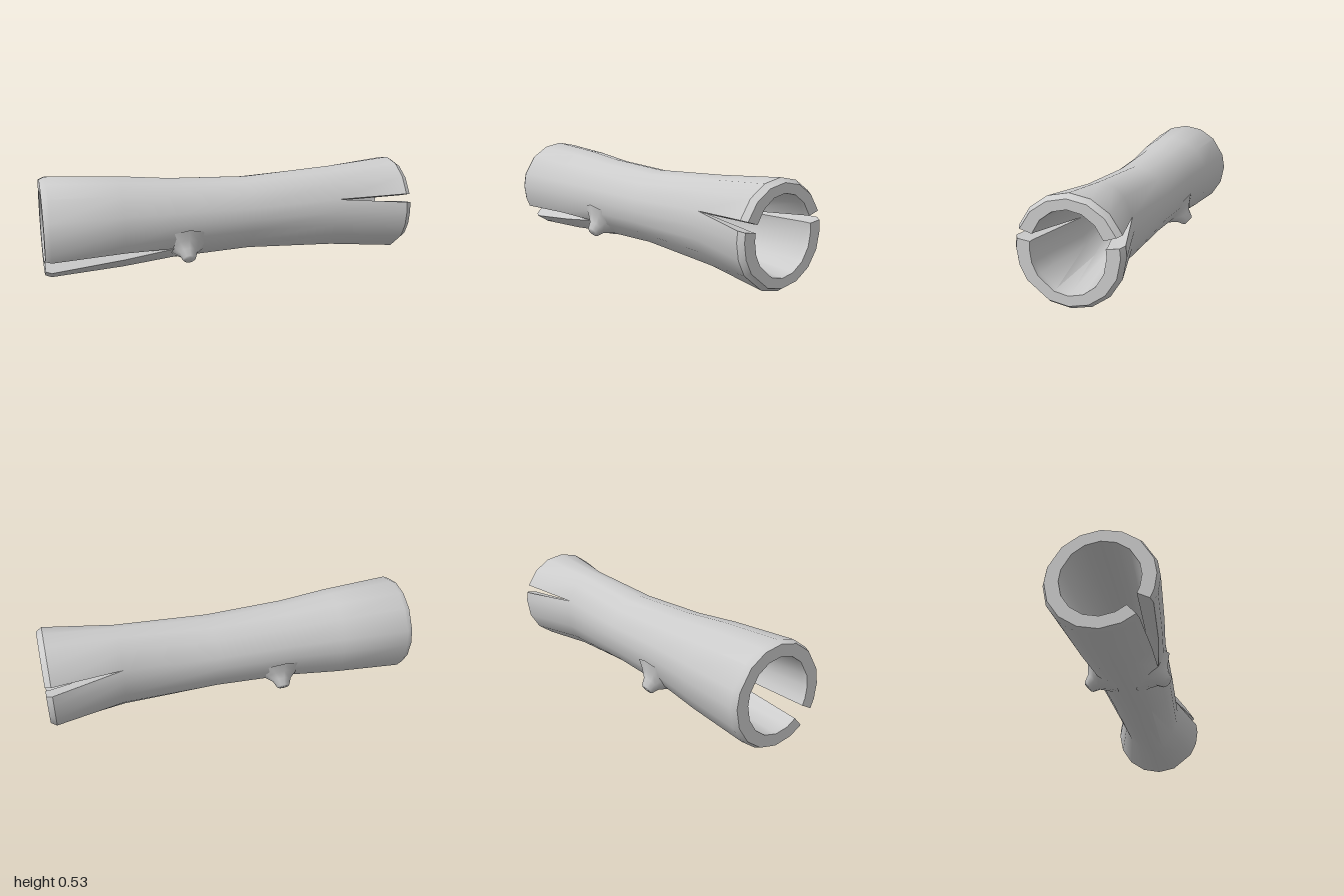
import * as THREE from 'three';
import { toCreasedNormals } from 'three/addons/utils/BufferGeometryUtils.js';

const CY = 0.264; // height of the tube axis

// x, outer half height / half depth, inner half height / half depth
const STATIONS = [
  [-1, 0.25, 0.25, 0.19, 0.185],
  [-0.97, 0.263, 0.263, 0.189, 0.184],
  [-0.6, 0.243, 0.233, 0.17, 0.165],
  [-0.33, 0.217, 0.205, 0.145, 0.14],
  [0.1, 0.201, 0.192, 0.12, 0.115],
  [0.6, 0.231, 0.168, 0.155, 0.1],
  [0.97, 0.263, 0.261, 0.192, 0.178],
  [1, 0.243, 0.243, 0.195, 0.18],
];

// Angles round the tube in degrees (0 = front, 90 = top); slit edges move with x
function columnsAt(x) {
  const a = Math.max(0, (x - 0.6) / 0.4);
  const c = Math.max(0, (-0.33 - x) / 0.67);
  const lo = 18 - 7 * a, hi = 18 + 4 * a;
  return [0, lo, hi, 45, 67.5, 90, 112.5, 135, 180 - hi, 180 - lo, 180,
    202.5, 225, 247.5, 270, 292.5, 324 - 14 * c, 324 + 7 * Math.min(1, c * 2.5), 342, 360];
}
const SLITS = [1, 8, 16]; // column at the lower-angle edge of each slit

function point(station, col, inner) {
  const [x, oy, oz, iy, iz] = station;
  const t = THREE.MathUtils.degToRad(columnsAt(x)[col] % 360);
  return [x, CY + (inner ? iy : oy) * Math.sin(t), (inner ? iz : oz) * Math.cos(t)];
}

function slottedTube() {
  const pos = [];
  const quad = (a, b, c, d) => pos.push(...a, ...b, ...c, ...a, ...c, ...d);
  const n = STATIONS.length;
  const cols = columnsAt(0).length;

  // closed wall section: along the outside, back along the inside
  const rows = [
    ...STATIONS.map((s) => [s, false]),
    ...[...STATIONS].reverse().map((s) => [s, true]),
  ];
  rows.forEach(([s, inner], r) => {
    const [s2, inner2] = rows[(r + 1) % rows.length];
    for (let c = 0; c < cols - 1; c++) {
      if (SLITS.includes(c)) continue;
      quad(point(s, c, inner), point(s2, c, inner2), point(s2, c + 1, inner2), point(s, c + 1, inner));
    }
  });

  // cut faces of the slits
  for (const c of SLITS) {
    for (let j = 0; j < n - 1; j++) {
      const s = STATIONS[j], s2 = STATIONS[j + 1];
      const open = [s, s2].some((k) => columnsAt(k[0])[c + 1] - columnsAt(k[0])[c] > 0.01);
      if (!open) continue;
      quad(point(s, c, true), point(s, c, false), point(s2, c, false), point(s2, c, true));
      quad(point(s, c + 1, true), point(s2, c + 1, true), point(s2, c + 1, false), point(s, c + 1, false));
    }
  }
  const geo = new THREE.BufferGeometry();
  geo.setAttribute('position', new THREE.Float32BufferAttribute(pos, 3));
  return toCreasedNormals(geo, 0.62);
}

export function createModel() {
  const group = new THREE.Group();
  const material = new THREE.MeshStandardMaterial({ color: 0xcccccc });

  const tube = new THREE.Mesh(slottedTube(), material);
  tube.name = 'slottedTube';
  group.add(tube);

  // flared studs on the lower front and lower back
  const profile = [[0.13, 0.175], [0.085, 0.205], [0.05, 0.235], [0.035, 0.27], [0.026, 0.277], [0, 0.277]]
    .map(([r, h]) => new THREE.Vector2(r, h));
  const studGeo = toCreasedNormals(new THREE.LatheGeometry(profile, 10), 0.75);
  for (const side of [1, -1]) {
    const stud = new THREE.Mesh(studGeo, material);
    stud.name = side > 0 ? 'frontStud' : 'backStud';
    stud.position.set(-0.265, CY, 0);
    stud.rotation.x = side * THREE.MathUtils.degToRad(131.5);
    group.add(stud);
  }
  return group;
}
